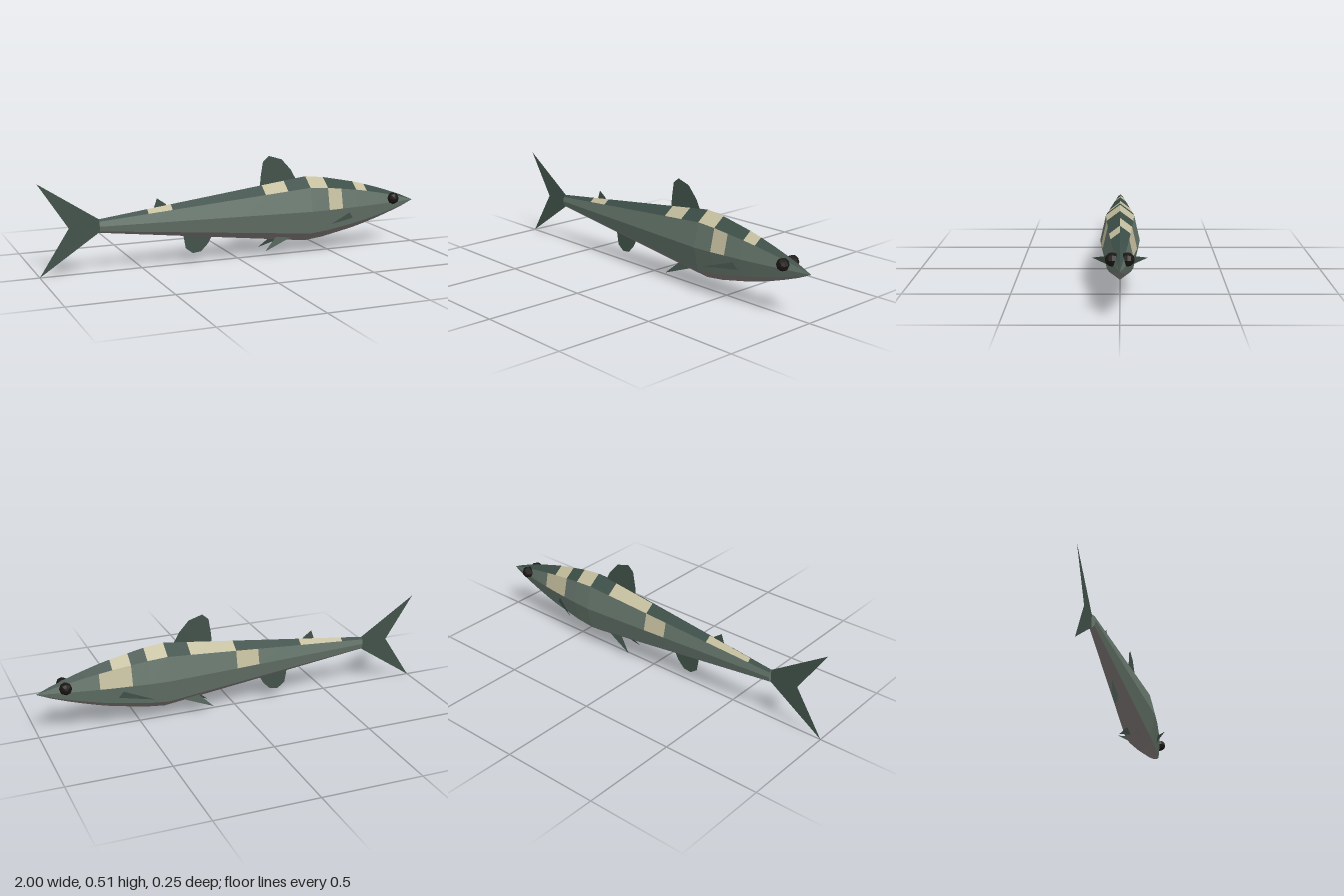
import * as THREE from 'three';

const mat = (color) => new THREE.MeshStandardMaterial({ color, flatShading: true, side: THREE.DoubleSide });
const backMat = mat(0x3c4e47);
const flankMat = mat(0x64746a);
const bellyMat = mat(0x827c7a);
const patchMat = mat(0xc4be9e);
const finMat = mat(0x42524a);
const eyeMat = mat(0x1a1613);

const MID = 0.225; // height of the body axis

// Body stations [x, half height]: straight taper to the tail, rounded taper to the snout
const stations = [];
for (let i = 0; i < 10; i++) stations.push([-0.71 + 0.12 * i, 0.033 + (0.134 * i) / 9]);
stations.push([0.47, 0.156], [0.55, 0.14], [0.64, 0.122], [0.705, 0.105],
  [0.78, 0.083], [0.85, 0.06], [0.93, 0.031], [1, 0]);

// Corner k of the eight-sided ring at station i, counted from the top towards +z
function corner(i, k) {
  const [x, r] = stations[i];
  const a = (k * Math.PI) / 4;
  return [x, MID + r * Math.cos(a), 0.55 * r * Math.sin(a)];
}

// Pale patches: facet number -> stations where they start
const patches = { 0: [2, 7, 9, 12], 1: [10], 6: [5, 11, 12], 7: [1, 2, 6, 7, 9, 11] };

function triangles(name, corners, material) {
  const g = new THREE.BufferGeometry();
  g.setAttribute('position', new THREE.Float32BufferAttribute(corners.flat(), 3));
  g.computeVertexNormals();
  const m = new THREE.Mesh(g, material);
  m.name = name;
  return m;
}

function createBody() {
  const parts = { back: [], flanks: [], belly: [], palePatches: [] };
  const bands = ['back', 'flanks', 'flanks', 'belly', 'belly', 'flanks', 'flanks', 'back'];
  const last = stations.length - 2;
  for (let k = 0; k < 8; k++) {
    for (let i = 0; i <= last; i++) {
      const list = patches[k]?.includes(i) ? parts.palePatches : parts[bands[k]];
      const a = corner(i, k), b = corner(i + 1, k), c = corner(i + 1, k + 1), d = corner(i, k + 1);
      list.push(d, b, a);
      if (i < last) list.push(d, c, b);
    }
    // closing facet at the tail root
    parts.flanks.push([stations[0][0], MID, 0], corner(0, k + 1), corner(0, k));
  }
  const body = new THREE.Group();
  body.name = 'body';
  body.add(
    triangles('back', parts.back, backMat),
    triangles('flanks', parts.flanks, flankMat),
    triangles('belly', parts.belly, bellyMat),
    triangles('palePatches', parts.palePatches, patchMat),
  );
  return body;
}

// Thin upright fin on the centre plane, outlined in x and y
function flatFin(name, outline) {
  const shape = new THREE.Shape(outline.map(([x, y]) => new THREE.Vector2(x, y)));
  const m = new THREE.Mesh(new THREE.ShapeGeometry(shape), finMat);
  m.name = name;
  return m;
}

export function createModel() {
  const fish = new THREE.Group();
  fish.name = 'fish';
  fish.add(createBody());

  // Centre fins
  fish.add(
    flatFin('tailFin', [[-0.71, 0.258], [-1, 0.447], [-0.855, 0.225], [-1, 0], [-0.71, 0.193]]),
    flatFin('dorsalFin', [[0.12, 0.34], [0.123, 0.4], [0.136, 0.48], [0.168, 0.508],
      [0.238, 0.487], [0.29, 0.43], [0.315, 0.385], [0.315, 0.36]]),
    flatFin('rearDorsalFin', [[-0.44, 0.28], [-0.42, 0.337], [-0.378, 0.308], [-0.36, 0.285]]),
    flatFin('analFin', [[-0.29, 0.16], [-0.275, 0.075], [-0.238, 0.048],
      [-0.195, 0.053], [-0.158, 0.09], [-0.13, 0.14]]),
  );

  // Paired fins and eyes, mirrored across the centre plane
  for (const [side, s] of [['right', 1], ['left', -1]]) {
    fish.add(
      triangles(side + 'PectoralFin',
        [[0.46, 0.162, 0.127 * s], [0.62, 0.167, 0.055 * s], [0.62, 0.207, 0.055 * s]], finMat),
      triangles(side + 'PelvicFin',
        [[0.13, 0.032, 0.048 * s], [0.28, 0.085, 0.022 * s], [0.2, 0.097, 0.022 * s]], finMat),
    );
    const eye = new THREE.Mesh(new THREE.SphereGeometry(0.031, 8, 6), eyeMat);
    eye.name = side + 'Eye';
    eye.rotation.x = Math.PI / 2;
    eye.position.set(0.865, 0.247, 0.032 * s);
    fish.add(eye);
  }
  return fish;
}
